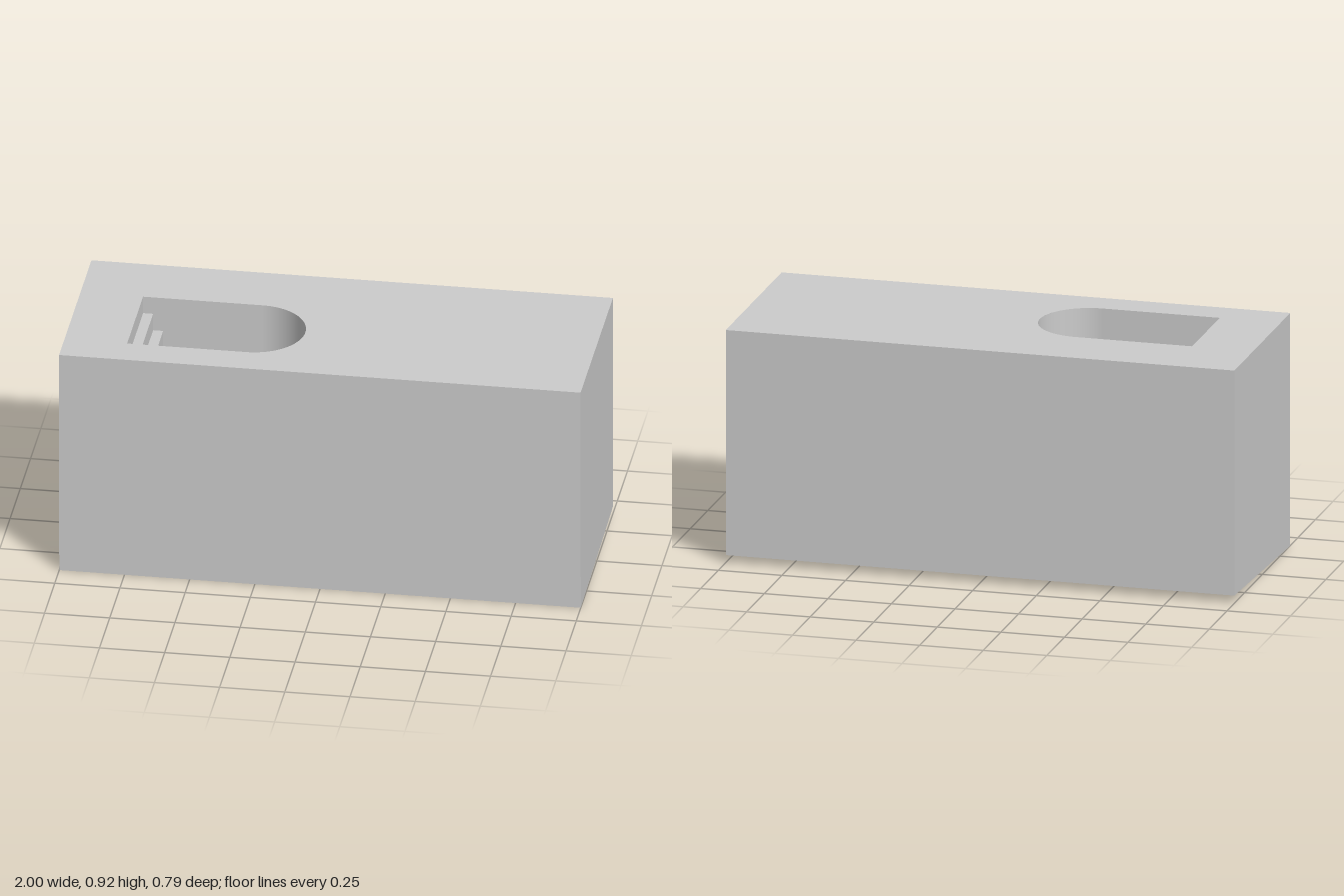
import * as THREE from 'three';

const TOP = 0.92, FRONT = 0.395, BACK = -0.395;
// Sunken well: straight end at X0, rounded end centred at XC
const X0 = -0.76, XC = -0.302, ZC = 0.066, R = 0.195;
const STEPS = 10, RUN = 0.0385, RISE = 0.07;
const FLOOR = TOP - (STEPS + 1) * RISE;

const material = new THREE.MeshStandardMaterial({ color: 0xcccccc, side: THREE.DoubleSide });

function add(parent, name, geometry, x = 0, y = 0, z = 0) {
  const mesh = new THREE.Mesh(geometry, material);
  mesh.name = name;
  mesh.position.set(x, y, z);
  parent.add(mesh);
  return mesh;
}

// Plan outline of the well from a given straight edge (shape y is -z)
function wellOutline(path, startX) {
  path.moveTo(startX, -ZC - R);
  path.lineTo(XC, -ZC - R);
  path.absarc(XC, -ZC, R, -Math.PI / 2, Math.PI / 2, false);
  path.lineTo(startX, -ZC + R);
  path.closePath();
  return path;
}

const flat = (shape) => new THREE.ShapeGeometry(shape, 32).rotateX(-Math.PI / 2);

export function createModel() {
  const model = new THREE.Group();
  model.name = 'blockWithStairwell';

  // Block sides and gently sloping underside, without the top face
  const block = new THREE.BoxGeometry(2, TOP, FRONT - BACK);
  block.translate(0, TOP / 2, 0);
  const pos = block.attributes.position;
  for (let i = 0; i < pos.count; i++) {
    if (pos.getY(i) > 0.01) continue;
    if (pos.getZ(i) < 0) pos.setY(i, 0.03);
    else pos.setZ(i, 0.39);
  }
  const index = Array.from(block.index.array);
  index.splice(12, 6);
  block.setIndex(index);
  block.clearGroups();
  block.computeVertexNormals();
  add(model, 'blockSides', block);

  // Top surface with the well opening
  const top = new THREE.Shape([
    new THREE.Vector2(-1, -FRONT), new THREE.Vector2(1, -FRONT),
    new THREE.Vector2(1, -BACK), new THREE.Vector2(-1, -BACK),
  ]);
  top.holes.push(wellOutline(new THREE.Path(), X0));
  add(model, 'topSurface', flat(top), 0, TOP);

  // Well walls and floor
  const well = new THREE.Group();
  well.name = 'well';
  model.add(well);
  const depth = TOP - FLOOR, midY = (TOP + FLOOR) / 2;
  const wall = new THREE.PlaneGeometry(XC - X0, depth);
  add(well, 'backWall', wall, (X0 + XC) / 2, midY, ZC - R);
  add(well, 'frontWall', wall.clone().rotateY(Math.PI), (X0 + XC) / 2, midY, ZC + R);
  const curved = new THREE.CylinderGeometry(R, R, depth, 32, 1, true, 0, Math.PI);
  add(well, 'roundedWall', curved, XC, midY, ZC).material =
    new THREE.MeshStandardMaterial({ color: 0xcccccc, side: THREE.BackSide });
  add(well, 'floor', flat(wellOutline(new THREE.Shape(), X0 + STEPS * RUN)), 0, FLOOR);

  // Stairs descending from the straight end
  const stairs = new THREE.Group();
  stairs.name = 'stairs';
  model.add(stairs);
  const riser = new THREE.PlaneGeometry(2 * R, RISE).rotateY(Math.PI / 2);
  const tread = new THREE.PlaneGeometry(RUN, 2 * R).rotateX(-Math.PI / 2);
  for (let i = 0; i <= STEPS; i++) {
    const x = X0 + i * RUN, y = TOP - i * RISE;
    add(stairs, 'riser', riser, x, y - RISE / 2, ZC);
    if (i < STEPS) add(stairs, 'tread', tread, x + RUN / 2, y - RISE, ZC);
  }

  return model;
}
